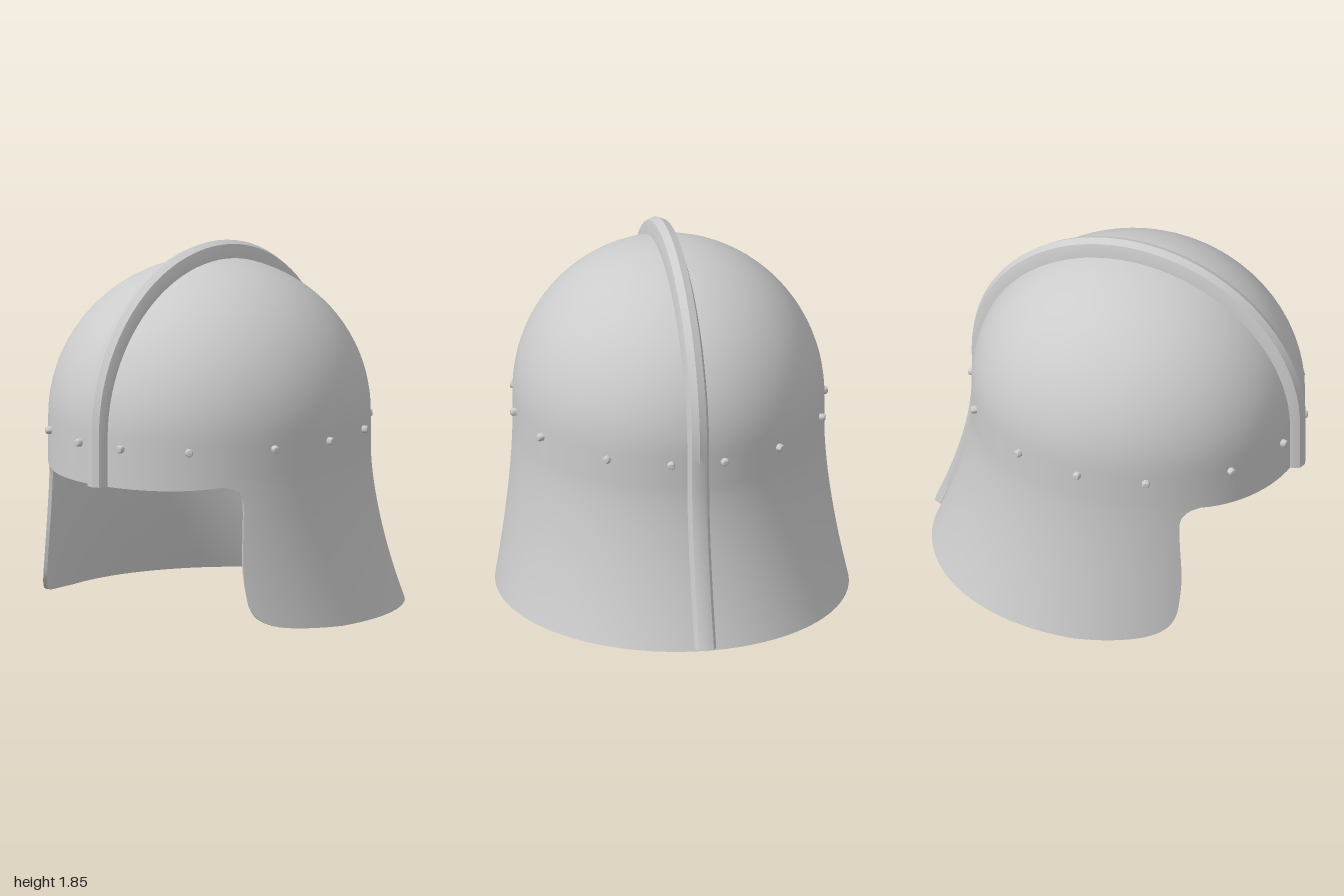
import * as THREE from 'three';
import { toCreasedNormals } from 'three/addons/utils/BufferGeometryUtils.js';

const RIM = 0.75;            // height where the face opening ends
const SPRING = 0.98;         // height where the dome starts
const DOME = 0.785;          // dome height
const TOP = SPRING + DOME * Math.PI / 2;
const THICK = 0.018;

// Point on the outer shell: t = angle from the front, s = distance up the shell
function shellPoint(t, s) {
  const flare = s < 0.8 ? Math.pow(1 - s / 0.8, 1.66) : 0;
  const phi = Math.max(0, (s - SPRING) / DOME);
  const y = s < SPRING ? s : SPRING + DOME * Math.sin(phi);
  const k = Math.cos(phi);
  return new THREE.Vector3(
    (0.78 + 0.105 * flare) * k * Math.sin(t), y,
    0.1 - 0.1 * flare + (0.845 + 0.105 * flare) * k * Math.cos(t));
}

function shellNormal(t, s) {
  const e = 0.002;
  s = Math.min(Math.max(s, 2 * e), TOP - 2 * e);
  const dt = shellPoint(t + e, s).sub(shellPoint(t - e, s));
  const ds = shellPoint(t, s + e).sub(shellPoint(t, s - e));
  return dt.cross(ds).normalize();
}

const inset = (t, s, depth) => {
  const p = shellPoint(t, s).addScaledVector(shellNormal(t, s), -depth);
  p.y = Math.max(p.y, 0);
  return p;
};

// Grid surface; at(i, j) gives { p, n } with n optional
function grid(nu, nv, at, flip = false) {
  const pos = [], nor = [], idx = [];
  for (let j = 0; j <= nv; j++) {
    for (let i = 0; i <= nu; i++) {
      const { p, n } = at(i, j);
      pos.push(p.x, p.y, p.z);
      if (n) nor.push(n.x, n.y, n.z);
      if (i < nu && j < nv) {
        const a = j * (nu + 1) + i, b = a + 1, d = a + nu + 1, c = d + 1;
        if (flip) idx.push(a, d, b, b, d, c);
        else idx.push(a, b, d, b, c, d);
      }
    }
  }
  const g = new THREE.BufferGeometry();
  g.setAttribute('position', new THREE.Float32BufferAttribute(pos, 3));
  g.setIndex(idx);
  if (nor.length) g.setAttribute('normal', new THREE.Float32BufferAttribute(nor, 3));
  else g.computeVertexNormals();
  return g;
}

export function createModel() {
  const model = new THREE.Group();
  model.name = 'helmet';
  const solid = new THREE.MeshStandardMaterial({ color: 0xcccccc });
  const thin = new THREE.MeshStandardMaterial({ color: 0xcccccc, side: THREE.DoubleSide });
  const add = (name, geometry, material = solid, parent = model) => {
    const mesh = new THREE.Mesh(geometry, material);
    mesh.name = name;
    parent.add(mesh);
    return mesh;
  };

  // Cheek edge seen from the side, as (z, y), turned into angle and height
  const cheek = new THREE.SplineCurve([
    [0.1, 0], [0.3, 0.012], [0.45, 0.03], [0.535, 0.065], [0.575, 0.12], [0.59, 0.2],
    [0.597, 0.35], [0.585, 0.55], [0.583, 0.67], [0.6, 0.715], [0.63, 0.74], [0.67, RIM],
  ].map(([z, y]) => new THREE.Vector2(z, y))).getPoints(44).map(({ x: z, y }) => {
    const s = Math.max(y, 0), c = shellPoint(Math.PI / 2, s).z;
    return { s, a: Math.acos((z - c) / (shellPoint(0, s).z - c)) };
  });
  const last = cheek[cheek.length - 1];
  const A = last.a;
  const browHeight = t => 0.728 + (RIM - 0.728) * Math.pow(Math.abs(t) / A, 4);

  // Shell: neck guard and rear dome, then the brow and front dome
  const UP = 28, BACK = 56, FRONT = 28;
  const rows = cheek.concat(Array.from({ length: UP }, (_, k) => ({
    s: last.s + (TOP - last.s) * (k + 1) / UP, a: A })));
  const rear = (i, j) => {
    const { s, a } = rows[j];
    return [a + (2 * Math.PI - 2 * a) * i / BACK, s];
  };
  const front = (i, j) => {
    const t = A * (2 * i / FRONT - 1), b = browHeight(t);
    return [t, b + (TOP - b) * j / UP];
  };
  const addPatch = (name, nu, nv, f) => {
    add(name + 'Outside', grid(nu, nv, (i, j) => {
      const [t, s] = f(i, j);
      return { p: shellPoint(t, s), n: shellNormal(t, s) };
    }));
    add(name + 'Inside', grid(nu, nv, (i, j) => {
      const [t, s] = f(i, j);
      return { p: inset(t, s, THICK), n: shellNormal(t, s).negate() };
    }, true));
  };
  addPatch('rearShell', BACK, rows.length - 1, rear);
  addPatch('frontShell', FRONT, UP, front);

  // Rim closing the thickness along the whole lower edge
  const edge = [];
  for (let j = cheek.length - 1; j >= 0; j--) edge.push(rear(0, j));
  for (let i = 1; i < BACK; i++) edge.push(rear(i, 0));
  for (let j = 0; j < cheek.length; j++) edge.push(rear(BACK, j));
  for (let i = 0; i <= FRONT; i++) edge.push(front(i, 0));
  const rim = grid(edge.length - 1, 1, (i, j) => ({ p: inset(...edge[i], j * THICK) }));
  add('rim', toCreasedNormals(rim, 0.6), thin);

  // Comb: a roof-shaped ridge from brow over the crown to the nape
  const section = [[-0.055, -0.03], [-0.055, 0.005], [-0.038, 0.8], [0, 1],
    [0.038, 0.8], [0.055, 0.005], [0.055, -0.03], [0, -0.03], [-0.055, -0.03]];
  const stations = [];
  for (let k = 0; k <= 24; k++) stations.push([0, 0.728 + (TOP - 0.728) * k / 24]);
  for (let k = 1; k <= 40; k++) stations.push([Math.PI, TOP + (0.015 - TOP) * k / 40]);
  const combPoint = (i, j) => {
    const [t, s] = stations[j];
    const p = shellPoint(t, s);
    const n = s < SPRING ? new THREE.Vector3(0, 0, Math.cos(t)) : shellNormal(t, s);
    const crown = Math.sin(Math.max(0, (s - SPRING) / DOME));
    const low = t === 0 ? 0.055 : 0.048;
    const height = low + (0.085 - low) * crown;
    const [x, h] = section[i];
    p.addScaledVector(n, h > 0.1 ? h * height : h);
    p.x = x;
    return p;
  };
  const comb = grid(section.length - 1, stations.length - 1, (i, j) => ({ p: combPoint(i, j) }));
  add('comb', toCreasedNormals(comb, 0.5), thin);
  [0, stations.length - 1].forEach(j => {
    const cap = grid(section.length - 1, 1, (i, v) => ({
      p: v ? combPoint(3, j).lerp(combPoint(7, j), 0.5) : combPoint(i, j) }));
    add('combEnd', cap, thin);
  });

  // Rivets around the brow line, mirrored left and right
  const rivets = new THREE.Group();
  rivets.name = 'rivets';
  model.add(rivets);
  const rivetShape = new THREE.LatheGeometry([[0.02, -0.015], [0.02, 0.018], [0.015, 0.027], [0, 0.03]]
    .map(([r, y]) => new THREE.Vector2(r, y)), 12);
  const rivetGeometry = toCreasedNormals(rivetShape, 0.7);
  const up = new THREE.Vector3(0, 1, 0);
  for (const degrees of [10, 36, 67, 91, 115, 146, 170]) {
    for (const side of [1, -1]) {
      const t = side * THREE.MathUtils.degToRad(degrees);
      const rivet = add('rivet', rivetGeometry, solid, rivets);
      rivet.position.copy(shellPoint(t, 0.93));
      rivet.quaternion.setFromUnitVectors(up, shellNormal(t, 0.93));
    }
  }
  return model;
}
